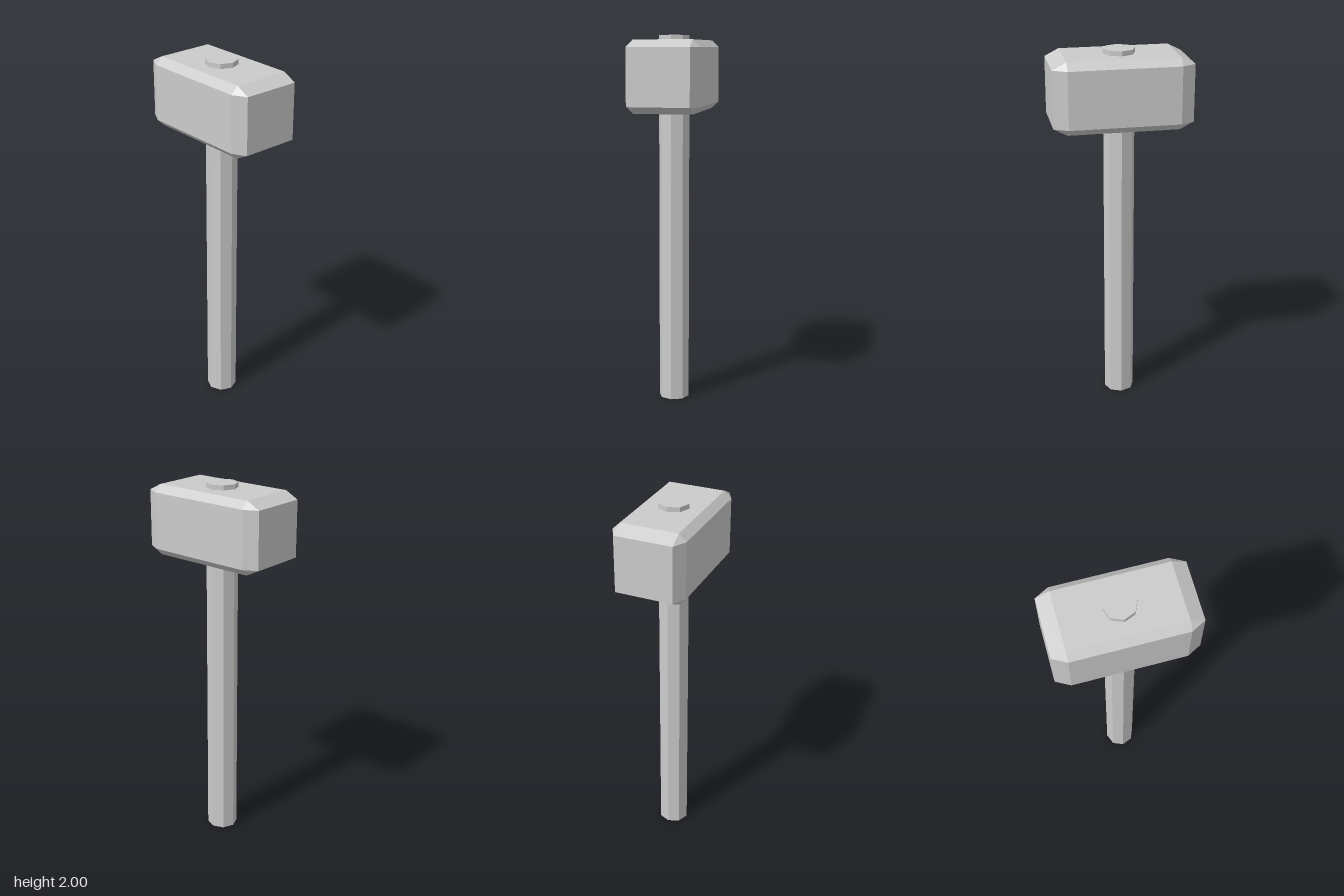
import * as THREE from 'three';
import { ConvexGeometry } from 'three/addons/geometries/ConvexGeometry.js';

// Box with flat chamfers: each corner becomes three points, one per adjoining face
function chamferedBox(half, bevel) {
  const points = [];
  for (const sx of [-1, 1]) for (const sy of [-1, 1]) for (const sz of [-1, 1]) {
    const sign = new THREE.Vector3(sx, sy, sz);
    for (const axis of ['x', 'y', 'z']) {
      const p = half.clone().sub(bevel);
      p[axis] = half[axis];
      points.push(p.multiply(sign));
    }
  }
  return new ConvexGeometry(points);
}

export function createModel() {
  const group = new THREE.Group();
  group.name = 'hammer';
  const material = new THREE.MeshStandardMaterial({ color: 0xcccccc, flatShading: true });

  // Octagonal handle, passing through the head and out of its top
  const handle = new THREE.Mesh(new THREE.CylinderGeometry(0.083, 0.083, 2, 8), material);
  handle.name = 'handle';
  handle.position.y = 1;
  group.add(handle);

  // Chamfered block head, with longer bevels towards the striking faces
  const head = new THREE.Mesh(
    chamferedBox(new THREE.Vector3(0.193, 0.1875, 0.363), new THREE.Vector3(0.039, 0.0375, 0.073)),
    material
  );
  head.name = 'head';
  head.position.y = 1.787;
  group.add(head);

  return group;
}
